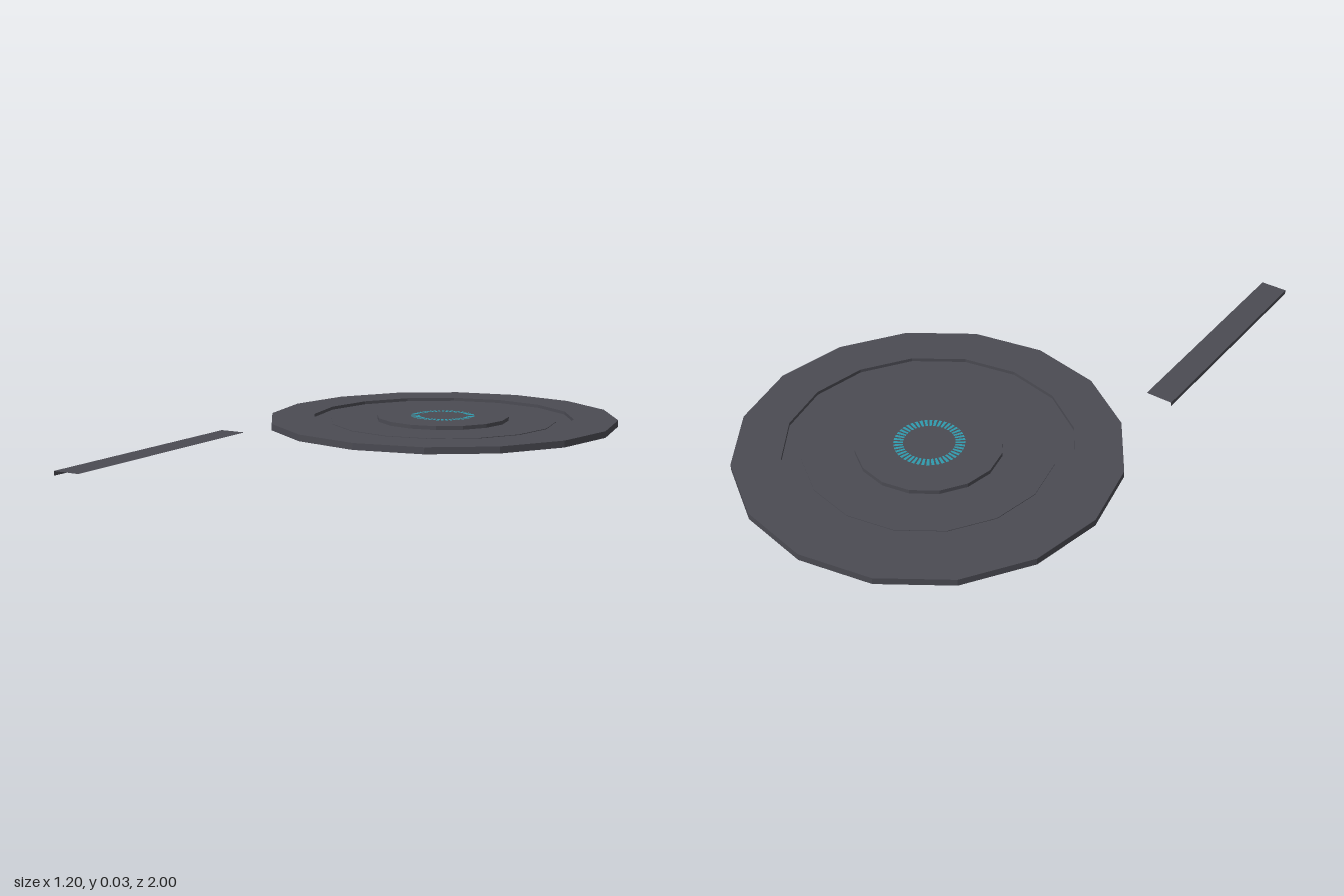
import * as THREE from 'three';
import { mergeGeometries } from 'three/addons/utils/BufferGeometryUtils.js';

const charcoal = new THREE.MeshStandardMaterial({ color: 0x4b4b53, flatShading: true, side: THREE.DoubleSide });
charcoal.name = 'charcoal';
const teal = new THREE.MeshStandardMaterial({ color: 0x2f9aad, flatShading: true, side: THREE.DoubleSide });
teal.name = 'teal';

const SIDES = 16;
const CENTRE_Z = -0.4;
const TOP = 0.026;

// Thin pressed sheet turned from [radius, height] pairs, outside to inside
function turned(name, profile) {
  const points = profile.map(([r, y]) => new THREE.Vector2(r, y));
  const mesh = new THREE.Mesh(new THREE.LatheGeometry(points, SIDES), charcoal);
  mesh.name = name;
  return mesh;
}

// Ring of short radial dashes on both faces of the centre sheet
function dashRing(inner, outer, count) {
  const step = (Math.PI * 2) / count;
  const dashes = [];
  for (const y of [TOP + 0.0006, TOP - 0.0006]) {
    for (let i = 0; i < count; i++) {
      const dash = new THREE.RingGeometry(inner, outer, 1, 1, i * step, step * 0.6);
      dash.rotateX(-Math.PI / 2);
      dash.translate(0, y, 0);
      dashes.push(dash);
    }
  }
  const mesh = new THREE.Mesh(mergeGeometries(dashes), teal);
  mesh.name = 'glowRing';
  return mesh;
}

export function createModel() {
  const model = new THREE.Group();
  model.name = 'floorPad';

  // Round pad: raised rim, sunken channel and raised centre
  const pad = new THREE.Group();
  pad.name = 'pad';
  pad.position.z = CENTRE_Z;
  pad.add(
    turned('outerRim', [[0.6, 0], [0.6, 0.022], [0.45, 0.022], [0.45, 0.011]]),
    turned('channel', [[0.45, 0.011], [0.39, 0.011], [0.39, 0.013], [0.228, 0.013]]),
    turned('centrePlate', [[0.228, 0.013], [0.228, TOP], [0, TOP]]),
    dashRing(0.08, 0.11, 44)
  );
  model.add(pad);

  // Separate strip: a top sheet with a flange folded down on its outer side
  const strip = new THREE.Group();
  strip.name = 'edgeStrip';
  strip.position.set(-0.453, 0.021, 0.602);
  const width = 0.09, length = 0.796, drop = 0.014;
  const sheet = new THREE.Mesh(new THREE.PlaneGeometry(width, length).rotateX(-Math.PI / 2), charcoal);
  sheet.name = 'stripTop';
  const flange = new THREE.Mesh(new THREE.PlaneGeometry(length, drop).rotateY(-Math.PI / 2), charcoal);
  flange.name = 'stripFlange';
  flange.position.set(-width / 2, -drop / 2, 0);
  strip.add(sheet, flange);
  model.add(strip);

  return model;
}
